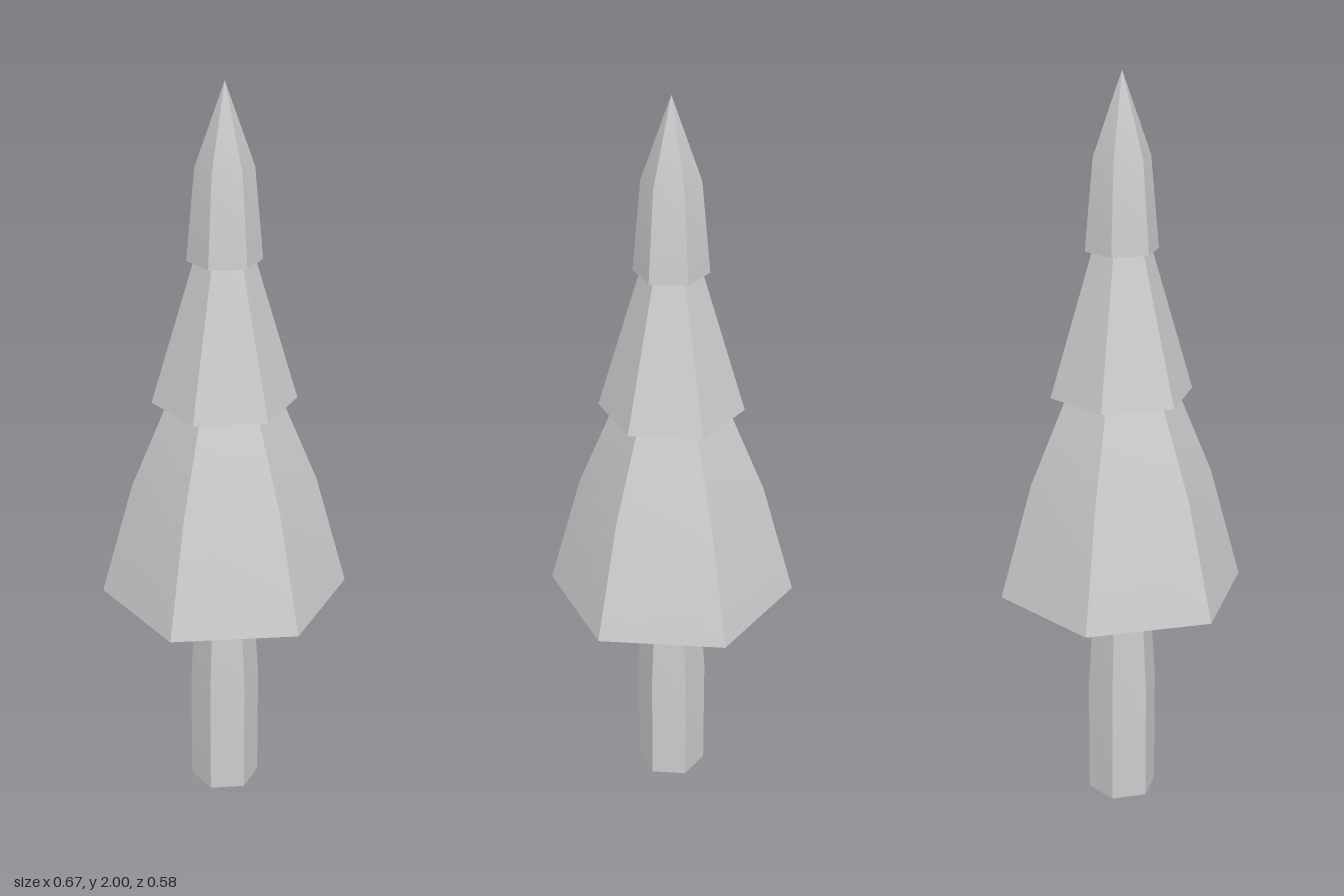
import * as THREE from 'three';
import { mergeGeometries } from 'three/addons/utils/BufferGeometryUtils.js';

const SIDES = 6;
const material = new THREE.MeshStandardMaterial({ color: 0xcccccc, side: THREE.DoubleSide });

// Six flat panels around the axis: smooth along each profile, sharp between panels.
// Profiles are lists of [radius, height]; separate profiles meet in a crease.
function hexPart(name, ...profiles) {
  const panels = [];
  for (const profile of profiles) {
    const points = profile.map(([r, y]) => new THREE.Vector2(r, y));
    for (let i = 0; i < SIDES; i++) {
      const step = (Math.PI * 2) / SIDES;
      const panel = new THREE.LatheGeometry(points, 1, Math.PI / 2 + i * step, step);
      panel.computeVertexNormals();
      panels.push(panel);
    }
  }
  const mesh = new THREE.Mesh(mergeGeometries(panels), material);
  mesh.name = name;
  return mesh;
}

export function createModel() {
  const tree = new THREE.Group();
  tree.name = 'coniferTree';

  // Trunk, open at the foot, straight below and tapering above
  tree.add(hexPart('trunk', [[0.095, 0], [0.095, 0.33], [0.076, 0.63]]));

  // Lowest branches: rounded underside, narrow groove behind a thin rim, flared skirt
  tree.add(hexPart('lowerBranches',
    [[0.07, 0.625], [0.22, 0.66], [0.274, 0.82], [0.334, 0.62]],
    [[0.334, 0.62], [0.247, 0.935], [0.15, 1.17], [0.13, 1.22]]));

  // Middle branches, hollowed underneath
  tree.add(hexPart('middleBranches',
    [[0.13, 1.22], [0.191, 1.172]],
    [[0.191, 1.172], [0.078, 1.555], [0.068, 1.585]]));

  // Pointed top, hollowed underneath
  tree.add(hexPart('treeTop',
    [[0.068, 1.585], [0.097, 1.553]],
    [[0.097, 1.553], [0.075, 1.79], [0, 2]]));

  return tree;
}
